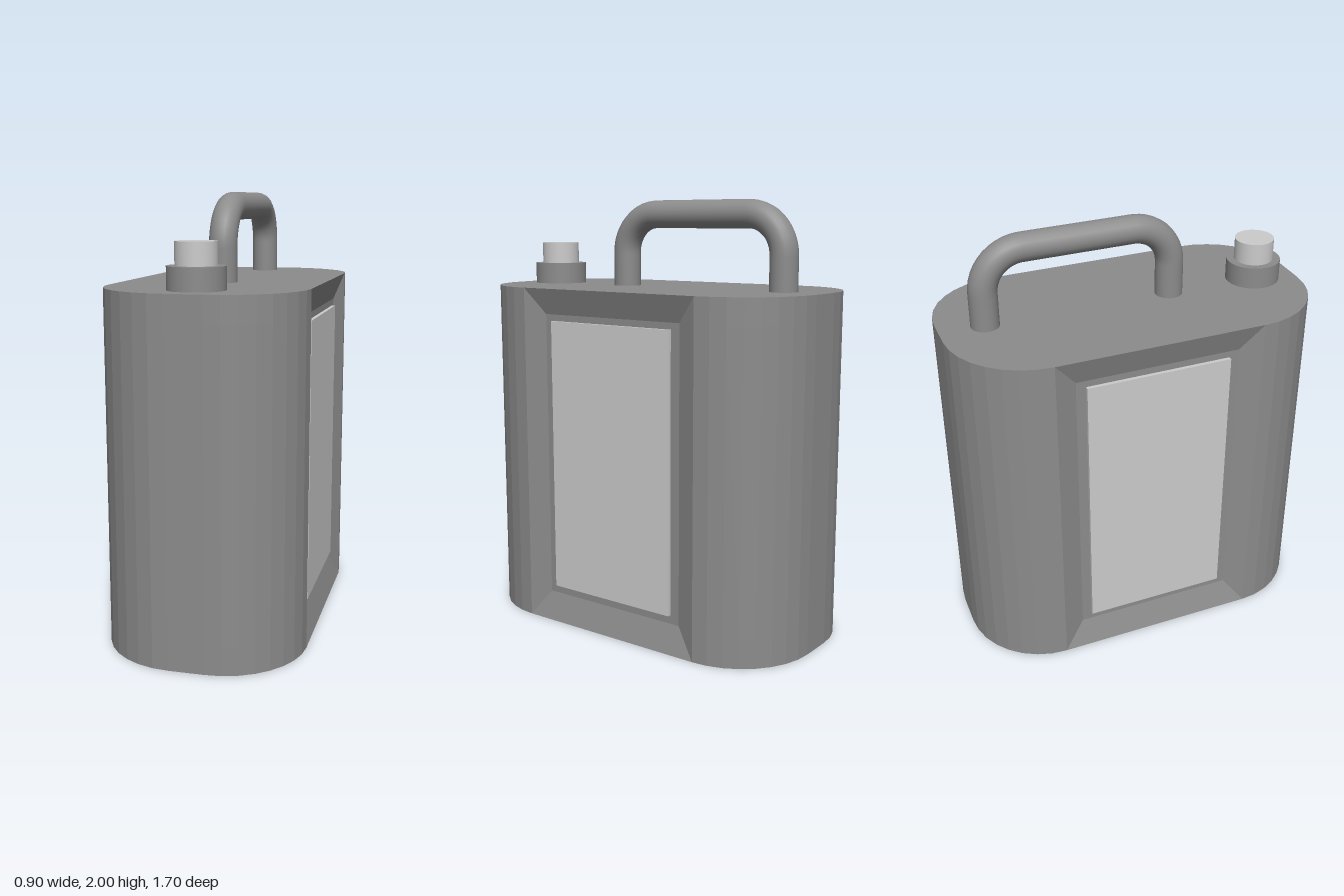
import * as THREE from 'three';

const H = 1.6, HALF_W = 0.45, R = 0.37, CX = 0.08, CZ = 0.48;
const DENT_Z = 0.38, DENT_X = 0.41, DENT_LOW = 0.13, DENT_HIGH = 1.48;

// One horizontal outline: rounded rectangle, optionally pressed in along both long sides
function outline(y, dented) {
  const pts = [], steps = 8;
  const corners = [[1, 1], [-1, 1], [-1, -1], [1, -1]];
  corners.forEach(([sx, sz], c) => {
    const dent = dented
      ? new THREE.Vector3(sx * DENT_X, y, sz * DENT_Z)
      : new THREE.Vector3(sx * HALF_W, y, sz * CZ);
    if (c % 2 === 0) pts.push(dent);
    for (let i = 0; i <= steps; i++) {
      const a = (c + i / steps) * Math.PI / 2;
      pts.push(new THREE.Vector3(sx * CX + R * Math.cos(a), y, sz * CZ + R * Math.sin(a)));
    }
    if (c % 2 === 1) pts.push(dent);
  });
  return pts;
}

// Closed skin over the stacked outlines
function canBody() {
  const rings = [outline(0, false), outline(DENT_LOW, true), outline(DENT_HIGH, true), outline(H, false)];
  const pos = [];
  const tri = (a, b, c) => {
    const area = new THREE.Triangle(a, b, c).getArea();
    if (area > 1e-7) for (const p of [a, b, c]) pos.push(p.x, p.y, p.z);
  };
  const n = rings[0].length;
  const bottom = new THREE.Vector3(0, 0, 0), top = new THREE.Vector3(0, H, 0);
  for (let i = 0; i < n; i++) {
    const j = (i + 1) % n;
    for (let k = 0; k < 3; k++) {
      const lo = rings[k], hi = rings[k + 1];
      tri(lo[i], hi[i], hi[j]);
      tri(lo[i], hi[j], lo[j]);
    }
    tri(bottom, rings[0][i], rings[0][j]);
    tri(top, rings[3][j], rings[3][i]);
  }
  const g = new THREE.BufferGeometry();
  g.setAttribute('position', new THREE.Float32BufferAttribute(pos, 3));
  g.computeVertexNormals();
  return g;
}

// Carrying handle: two uprights, two bends and a straight grip
function handlePath() {
  const front = 0.22, back = -0.645, top = 1.936, r = 0.18, k = r * 0.4477;
  const v = (y, z) => new THREE.Vector3(0, y, z);
  const path = new THREE.CurvePath();
  path.add(new THREE.LineCurve3(v(H - 0.03, front), v(top - r, front)));
  path.add(new THREE.CubicBezierCurve3(v(top - r, front), v(top - k, front), v(top, front - k), v(top, front - r)));
  path.add(new THREE.LineCurve3(v(top, front - r), v(top, back + r)));
  path.add(new THREE.CubicBezierCurve3(v(top, back + r), v(top, back + k), v(top - k, back), v(top - r, back)));
  path.add(new THREE.LineCurve3(v(top - r, back), v(H - 0.03, back)));
  return path;
}

export function createModel() {
  const group = new THREE.Group();
  const bodyMat = new THREE.MeshStandardMaterial({ color: 0x8c8c8c });
  const lightMat = new THREE.MeshStandardMaterial({ color: 0xcccccc });
  const add = (name, geometry, material, x = 0, y = 0, z = 0) => {
    const mesh = new THREE.Mesh(geometry, material);
    mesh.name = name;
    mesh.position.set(x, y, z);
    group.add(mesh);
  };

  add('body', canBody(), bodyMat);

  // Raised panels sitting in the pressed-in sides
  for (const s of [1, -1]) {
    add(s > 0 ? 'leftPanel' : 'rightPanel', new THREE.BoxGeometry(0.04, 1.28, 0.67), lightMat, s * 0.407, 0.81, 0);
  }

  add('handle', new THREE.TubeGeometry(handlePath(), 56, 0.064, 20), bodyMat);

  // Filler neck and cap
  add('neck', new THREE.CylinderGeometry(0.125, 0.125, 0.1, 32), bodyMat, 0, H + 0.05, 0.65);
  add('cap', new THREE.CylinderGeometry(0.09, 0.09, 0.1, 32), lightMat, 0, H + 0.15, 0.65);
  return group;
}
